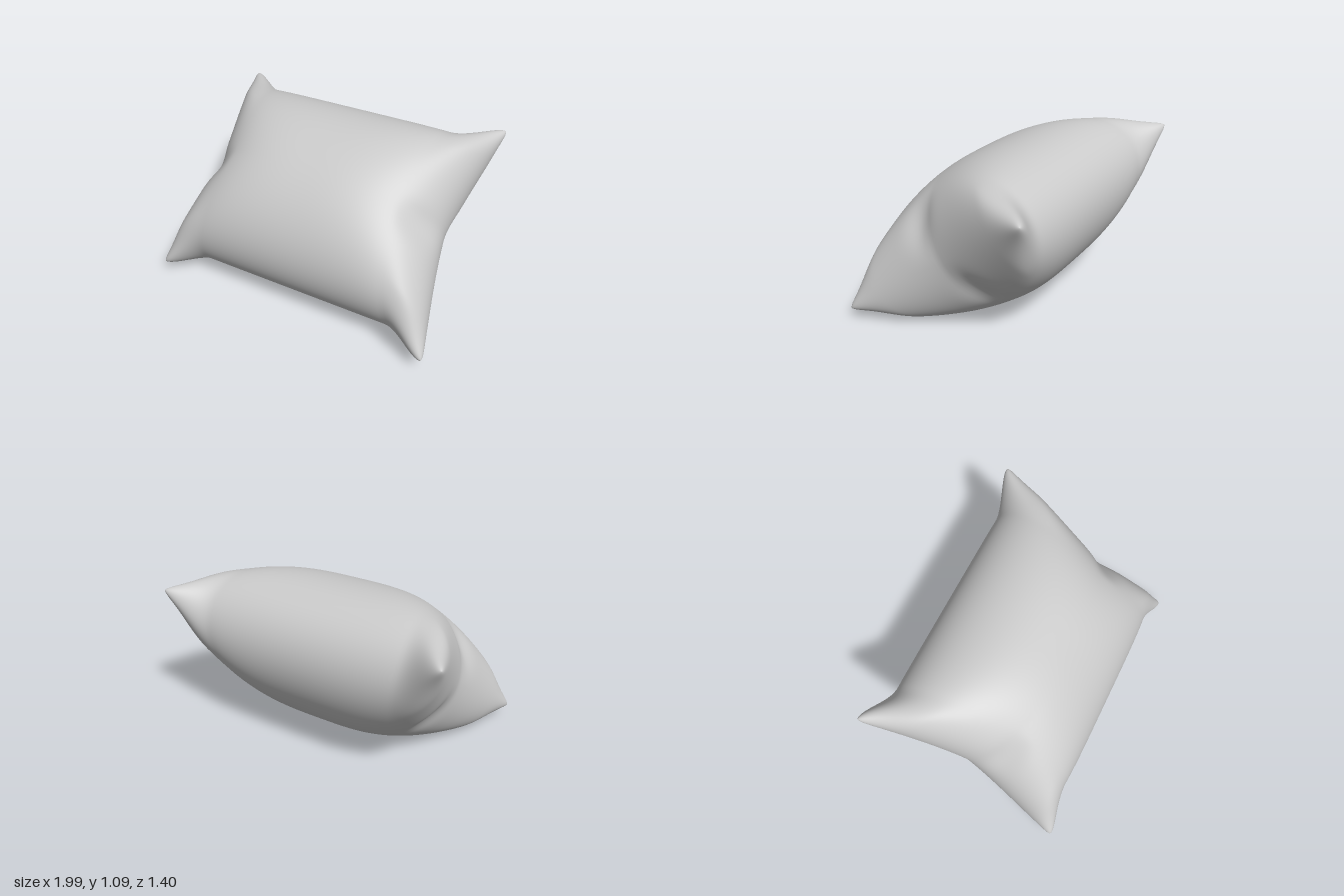
import * as THREE from 'three';
import { mergeGeometries, mergeVertices } from 'three/addons/utils/BufferGeometryUtils.js';

const HALF_THICKNESS = 0.483;
const { smoothstep } = THREE.MathUtils;

// Maps a point of the square (-1..1) to one half of the stuffed cushion.
function cushionPoint(a, b, side) {
  // sine spacing crowds the rows toward the seam, where the surface turns over
  const u = Math.sin(a * Math.PI / 2), v = Math.sin(b * Math.PI / 2);
  const au = Math.abs(u), av = Math.abs(v);

  // seam outline: short sides pinch inward, long sides stay straight up to the ears
  const halfWidth = 0.815 + 0.155 * Math.pow(av, 1.3);
  const halfDepth = 0.65 + 0.145 * smoothstep(au, 0.68, 1.02);
  const tip = 1 - 0.018 * Math.pow(au * av, 24);

  // padding: elliptical front to back, flat from side to side with blunt ends
  const across = Math.sqrt(Math.max(0, 1 - Math.pow(au, 3.2 + 2 * av * av)));
  const along = Math.sqrt(Math.max(0, 1 - v * v));

  // slimmer ears at the four corners
  const ear = 1 - 0.35 * smoothstep(au, 0.7, 1) * smoothstep(av, 0.65, 1);

  // gathered folds at the middle of each short side
  const nearSide = smoothstep(au, 0.7, 0.97);
  const dent = Math.exp(-Math.pow((v - 0.1 * side) / 0.13, 2));
  const fold = 1 - 0.2 * nearSide * dent;

  return [u * halfWidth * tip, side * HALF_THICKNESS * across * along * ear * fold, v * halfDepth * tip];
}

// One half: a flat grid with its vertices moved by the cushion rule.
function makeHalf(side) {
  const geo = new THREE.PlaneGeometry(2, 2, 90, 90).rotateX(-side * Math.PI / 2);
  geo.deleteAttribute('uv');
  geo.deleteAttribute('normal');
  const pos = geo.attributes.position;
  for (let i = 0; i < pos.count; i++) {
    pos.setXYZ(i, ...cushionPoint(pos.getX(i), pos.getZ(i), side));
  }
  return geo;
}

export function createModel() {
  const group = new THREE.Group();
  group.name = 'pillow';

  // both halves welded along the seam
  const geo = mergeVertices(mergeGeometries([makeHalf(1), makeHalf(-1)]), 1e-4);
  geo.computeVertexNormals();

  const cushion = new THREE.Mesh(geo, new THREE.MeshStandardMaterial({ color: 0xcccccc, roughness: 0.8 }));
  cushion.name = 'cushion';
  // leaning back, turned slightly
  cushion.rotation.set(0.627, 0.07, 0, 'YXZ');
  cushion.position.y = 0.555;
  group.add(cushion);
  return group;
}
